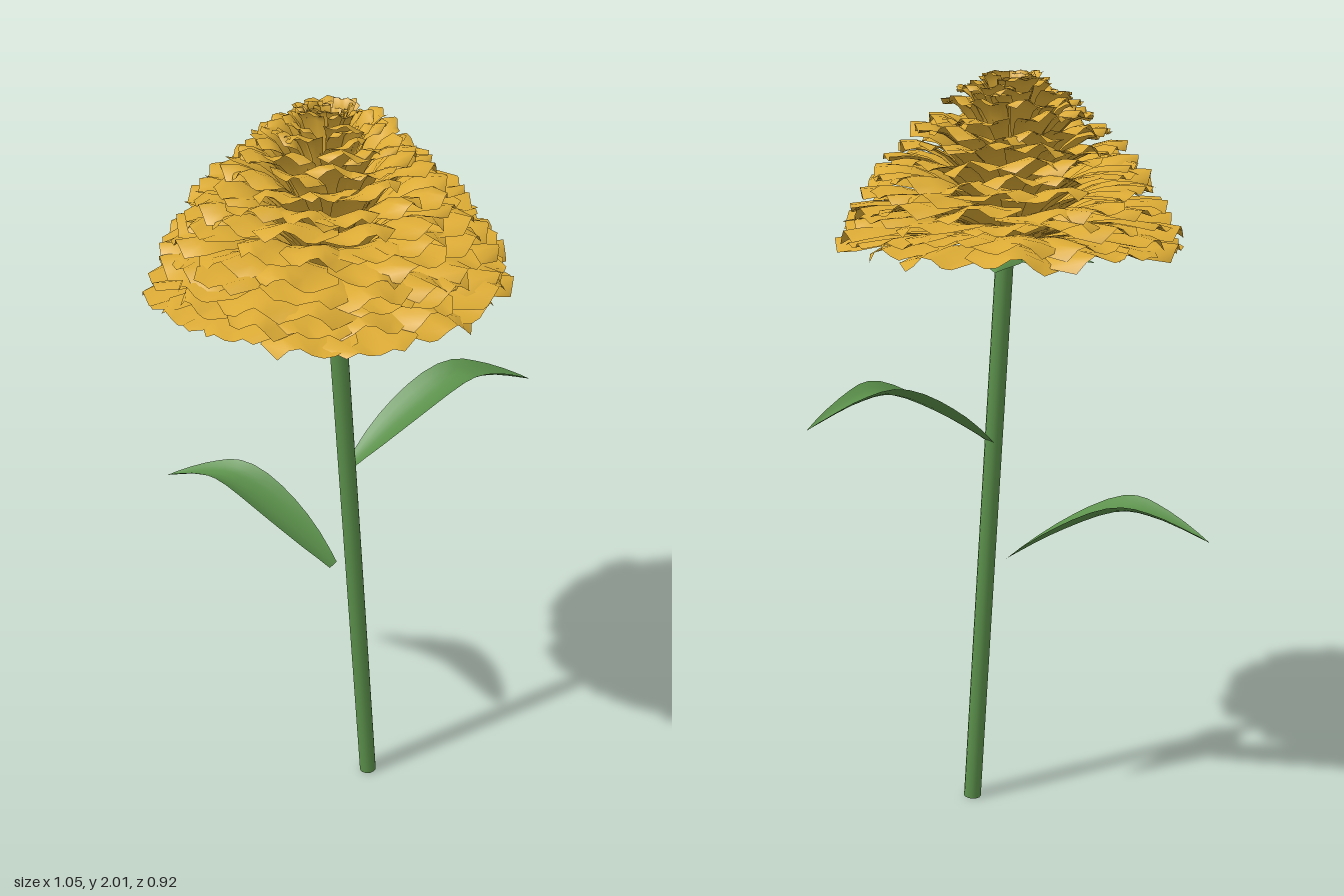
import * as THREE from 'three';
import { mergeGeometries } from 'three/addons/utils/BufferGeometryUtils.js';

const yellow = new THREE.MeshStandardMaterial({ color: 0xdcab35, side: THREE.DoubleSide });
yellow.name = 'petal yellow';
const green = new THREE.MeshStandardMaterial({ color: 0x5a8f4a, side: THREE.DoubleSide });
green.name = 'leaf green';

// Small seeded generator, returns -1..1
let seed = 7;
function jitter() {
  seed = (seed * 16807) % 2147483647;
  return (seed / 2147483647) * 2 - 1;
}

// A curved sheet along +x: spine curve in the xy plane, half width and lift per position
function blade(spine, halfWidth, lift, nu, nv) {
  const pos = [], index = [];
  for (let i = 0; i <= nu; i++) {
    const u = i / nu, p = spine.getPoint(u), t = spine.getTangent(u), w = halfWidth(u);
    for (let j = 0; j <= nv; j++) {
      const s = (j / nv) * 2 - 1, k = lift(u, s);
      pos.push(p.x - t.y * k, p.y + t.x * k, s * w);
      if (i < nu && j < nv) {
        const a = i * (nv + 1) + j, b = a + nv + 1;
        index.push(a, a + 1, b, b, a + 1, b + 1);
      }
    }
  }
  const g = new THREE.BufferGeometry();
  g.setAttribute('position', new THREE.Float32BufferAttribute(pos, 3));
  g.setIndex(index);
  g.computeVertexNormals();
  return g;
}

const v2 = (x, y) => new THREE.Vector2(x, y);

function mesh(name, geometry, material, x = 0, y = 0, z = 0) {
  const m = new THREE.Mesh(geometry, material);
  m.name = name;
  m.position.set(x, y, z);
  return m;
}

// One petal reaching from the heart of the head to a tip at radius r, height h
function petal(r, h, w) {
  const spine = new THREE.QuadraticBezierCurve(
    v2(0.02, 0), v2(r * (0.62 - 0.5 * h), h + 0.035), v2(r, h));
  const phase = jitter() * 3, ruffle = 0.012 * Math.min(1, r / 0.2);
  const width = (u) => {
    const end = Math.max(0, (u - 0.8) / 0.2);
    return w * (0.12 + 0.88 * u) * Math.sqrt(1 - 0.75 * end * end);
  };
  const lift = (u, s) => u * u * (ruffle * Math.sin(4 * s + phase) - 0.12 * w * s * s);
  return blade(spine, width, lift, 7, 5);
}

export function createModel() {
  const model = new THREE.Group();
  model.name = 'flower';

  // Leaning stem
  const path = new THREE.CatmullRomCurve3([
    new THREE.Vector3(0.03, 0, 0.057), new THREE.Vector3(0.003, 0.5, 0.048),
    new THREE.Vector3(-0.026, 1.04, 0.037), new THREE.Vector3(-0.055, 1.57, 0.027)]);
  model.add(mesh('stem', new THREE.TubeGeometry(path, 12, 0.024, 12), green));
  const foot = mesh('stemEnd', new THREE.CircleGeometry(0.024, 12), green, 0.03, 0.001, 0.057);
  foot.rotation.x = Math.PI / 2;
  model.add(foot);

  // Two arching leaves
  const leafSpine = new THREE.SplineCurve([
    v2(0, 0), v2(0.15, 0.095), v2(0.31, 0.17), v2(0.42, 0.165), v2(0.56, 0.115)]);
  const leafWidth = new THREE.SplineCurve([
    v2(0, 0.018), v2(0.2, 0.055), v2(0.4, 0.07), v2(0.6, 0.058), v2(0.8, 0.032), v2(1, 0.001)]);
  const leafGeo = blade(leafSpine, (u) => leafWidth.getPoint(u).y,
    (u, s) => 0.025 * s * s * Math.sin(Math.PI * u), 14, 6);
  const upper = mesh('upperLeaf', leafGeo, green, -0.015, 1.04, 0.035);
  upper.rotation.y = 0.24;
  const lower = mesh('lowerLeaf', leafGeo, green, -0.06, 0.715, 0.015);
  lower.rotation.y = 2.33;
  model.add(upper, lower);

  // Ring of drooping sepals below the head
  const head = new THREE.Group();
  head.name = 'flowerHead';
  head.position.set(-0.062, 1.57, 0.012);
  const sepalSpine = new THREE.QuadraticBezierCurve(v2(0.01, -0.01), v2(0.13, 0.01), v2(0.22, -0.045));
  const sepalGeo = blade(sepalSpine, (u) => 0.012 + 0.05 * Math.sin(Math.PI * Math.pow(u, 0.85)) - 0.011 * u,
    (u, s) => -0.02 * s * s * Math.sin(Math.PI * u), 8, 4);
  for (let i = 0; i < 8; i++) {
    const sepal = mesh('sepal', sepalGeo, green);
    sepal.rotation.y = (i / 8) * Math.PI * 2 + 0.2;
    head.add(sepal);
  }

  // Dome of overlapping petals, layer by layer from rim to crown
  const dome = new THREE.SplineCurve([
    v2(0.445, 0.012), v2(0.42, 0.07), v2(0.385, 0.13), v2(0.335, 0.195), v2(0.28, 0.26),
    v2(0.215, 0.325), v2(0.15, 0.38), v2(0.095, 0.415), v2(0.055, 0.425), v2(0.035, 0.405)]);
  const layers = 17, petals = [];
  for (let k = 0; k < layers; k++) {
    const tip = dome.getPoint(k / (layers - 1));
    const count = Math.round(7 + 20 * tip.x);
    const w = (Math.PI * tip.x / count) * 1.45;
    for (let i = 0; i < count; i++) {
      const r = tip.x * (1 + 0.04 * jitter());
      const h = tip.y + (k ? 0.012 : 0.008) * jitter();
      const g = petal(r, h, w * (1 + 0.12 * jitter()));
      g.rotateX(0.12 * jitter() * (tip.x > 0.1 ? 1 : 0.3));
      g.rotateY(((i + 0.2 * jitter()) / count) * Math.PI * 2 + k * 2.4);
      petals.push(g);
    }
  }
  head.add(mesh('petals', mergeGeometries(petals), yellow));
  model.add(head);
  return model;
}
